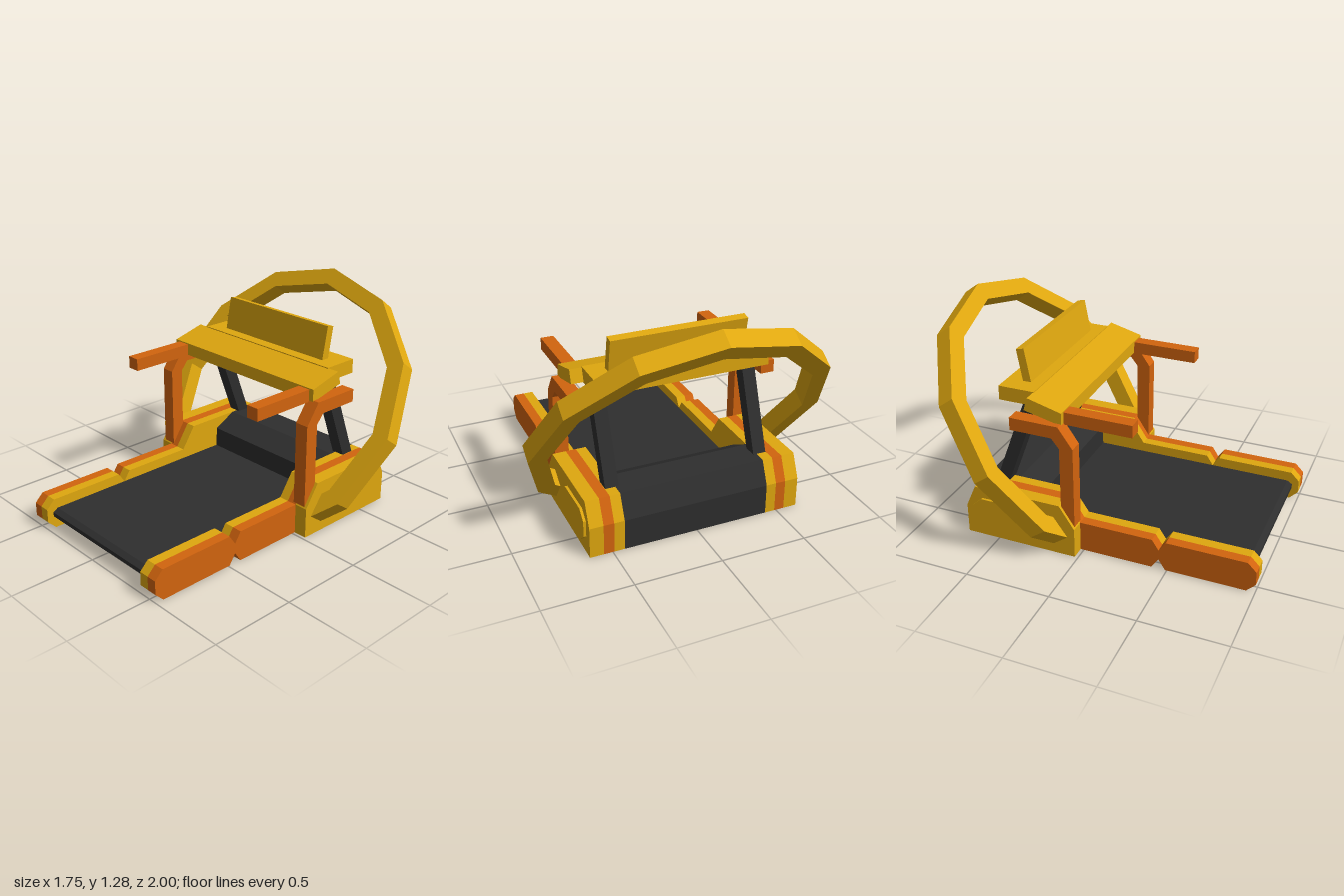
import * as THREE from 'three';

const mat = (name, color) => {
  const m = new THREE.MeshStandardMaterial({ color });
  m.name = name;
  return m;
};

export function createModel() {
  const model = new THREE.Group();
  model.name = 'treadmill';
  const yellow = mat('yellow', 0xdfa70f);
  const orange = mat('orange', 0xd2640e);
  const dark = mat('charcoal', 0x2e2e2e);

  const toShape = (pts) => new THREE.Shape(pts.map(([a, b]) => new THREE.Vector2(a, b)));

  // Extrudes a side profile given as [z, y] points between x0 and x1
  function slab(name, material, profile, x0, x1) {
    const geo = new THREE.ExtrudeGeometry(toShape(profile), { depth: x1 - x0, bevelEnabled: false });
    geo.rotateY(-Math.PI / 2).translate(x1, 0, 0);
    const mesh = new THREE.Mesh(geo, material);
    mesh.name = name;
    model.add(mesh);
  }

  // The same slab on the left (+x) and right (-x) side
  function pair(name, material, profile, x0, x1) {
    slab('left' + name, material, profile, x0, x1);
    slab('right' + name, material, profile, -x1, -x0);
  }

  // Side rails: notched foot rail running into the raised motor housing
  const rail = [
    [1, 0.05], [1, 0.13], [0.95, 0.18], [0.49, 0.18], [0.45, 0.12], [0.41, 0.18],
    [-0.02, 0.18], [-0.11, 0.315], [-0.64, 0.315], [-0.7, 0.18], [-0.7, 0],
    [0.41, 0], [0.45, 0.06], [0.49, 0], [0.95, 0],
  ];
  pair('InnerRail', yellow, rail, 0.43, 0.49);
  pair('OuterRail', orange, rail, 0.49, 0.55);

  // Outer housing cheeks with a raised octagonal cover
  const cheek = [[-0.02, 0], [-0.02, 0.18], [-0.11, 0.315], [-0.64, 0.315], [-0.7, 0.18], [-0.7, 0]];
  pair('HousingCheek', yellow, cheek, 0.55, 0.63);
  const octagon = [
    [-0.305, 0.105], [-0.305, 0.2], [-0.36, 0.25], [-0.595, 0.25],
    [-0.65, 0.2], [-0.65, 0.105], [-0.595, 0.055], [-0.36, 0.055],
  ];
  pair('HousingCover', yellow, octagon, 0.63, 0.645);

  // Running belt and motor hood
  slab('runningBelt', dark, [
    [0.96, 0.075], [0.96, 0.1], [0.93, 0.12], [-0.4, 0.12], [-0.4, 0.06], [0.94, 0.06],
  ], -0.43, 0.43);
  slab('motorHood', dark, [
    [-0.3, 0], [-0.31, 0.24], [-0.45, 0.315], [-0.64, 0.315], [-0.7, 0.18], [-0.7, 0],
  ], -0.43, 0.43);

  // Bent posts, hand grips and rear struts
  pair('Post', orange, [
    [-0.025, 0.18], [-0.025, 0.68], [-0.11, 0.8], [-0.4, 0.8], [-0.4, 0.725],
    [-0.15, 0.725], [-0.105, 0.67], [-0.105, 0.18],
  ], 0.53, 0.612);
  pair('HandGrip', orange, [[0.29, 0.785], [0.29, 0.858], [-0.13, 0.858], [-0.13, 0.785]], 0.468, 0.545);
  pair('Strut', dark, [[-0.495, 0.3], [-0.575, 0.3], [-0.37, 0.85], [-0.29, 0.85]], 0.41, 0.488);

  // Console: sloped front, level rear shelf and screen
  slab('consoleFront', yellow, [[-0.105, 0.79], [-0.105, 0.865], [-0.305, 0.918], [-0.328, 0.842]], -0.575, 0.575);
  slab('consoleShelf', yellow, [[-0.3, 0.838], [-0.3, 0.922], [-0.515, 0.922], [-0.515, 0.838]], -0.505, 0.505);
  slab('screen', yellow, [[-0.365, 0.9], [-0.406, 1.117], [-0.453, 1.107], [-0.415, 0.9]], -0.4, 0.4);

  // Twelve-sided hoop, open at the bottom and cut flush with the cheeks
  const outer = 0.875, inner = 0.77, cut = 0.62;
  const arc = (r) => {
    const pts = [];
    for (let i = -4; i <= 4; i++) {
      const a = (i * Math.PI) / 6;
      pts.push([r * Math.sin(a), r * Math.cos(a)]);
    }
    // the next edge runs inward at 45 degrees until it meets the cheek
    const last = pts[8];
    const y = last[1] - (last[0] - cut);
    return [[-cut, y], ...pts, [cut, y]];
  };
  const hoopGeo = new THREE.ExtrudeGeometry(
    toShape([...arc(outer), ...arc(inner).reverse()]),
    { depth: 0.107, bevelEnabled: false },
  );
  hoopGeo.translate(0, 0, -0.107);
  const hoop = new THREE.Mesh(hoopGeo, yellow);
  hoop.name = 'hoop';
  hoop.rotation.x = -0.629;
  hoop.position.set(0, 0.577, -0.395);
  model.add(hoop);

  return model;
}
